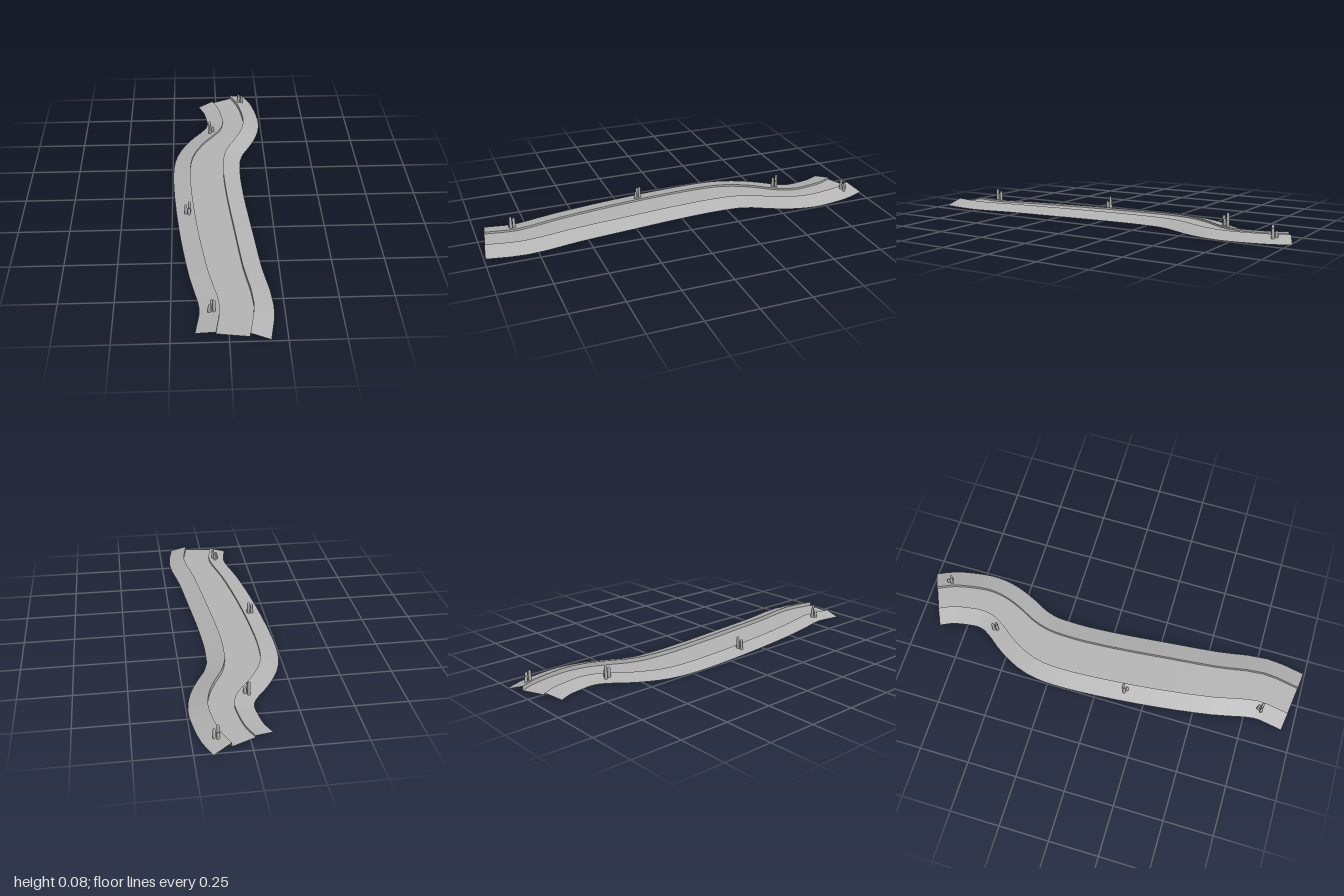
import * as THREE from 'three';

const stone = new THREE.MeshStandardMaterial({ color: 0xb4b4b4, side: THREE.DoubleSide, flatShading: true });
stone.name = 'paleGrey';
const reedGrey = new THREE.MeshStandardMaterial({ color: 0xb4b4b4 });
reedGrey.name = 'reedGrey';

// centre line of the stream, front to back: x, z
const path = new THREE.CatmullRomCurve3([
  [0.016, 0.97], [0.04, 0.8], [0, 0.566], [-0.034, 0.29], [-0.061, 0], [-0.069, -0.21], [-0.058, -0.333],
  [-0.018, -0.44], [0.04, -0.534], [0.077, -0.61], [0.093, -0.69], [0.087, -0.77], [0.066, -0.873], [0.032, -0.95],
].map(([x, z]) => new THREE.Vector3(x, 0, z)));

// half width of the channel against z
function halfWidth(z) {
  if (z > 0) return THREE.MathUtils.lerp(0.088, 0.073, THREE.MathUtils.smoothstep(z, 0.2, 0.97));
  return THREE.MathUtils.lerp(0.088, 0.059, THREE.MathUtils.smoothstep(-z, 0.25, 0.65));
}

// ribbon along the path between two profile corners: [side, extra width, height]
function ribbon(name, a, b) {
  const steps = 39, pos = [], index = [];
  for (let i = 0; i <= steps; i++) {
    const p = path.getPoint(i / steps), t = path.getTangent(i / steps);
    const h = halfWidth(p.z);
    for (const [side, extra, y] of [a, b]) {
      const d = side * (h + extra);
      pos.push(p.x - t.z * d, y, p.z + t.x * d);
    }
    if (i < steps) {
      const k = i * 2;
      index.push(k, k + 1, k + 3, k, k + 3, k + 2);
    }
  }
  const g = new THREE.BufferGeometry();
  g.setAttribute('position', new THREE.Float32BufferAttribute(pos, 3));
  g.setIndex(index);
  g.computeVertexNormals();
  const mesh = new THREE.Mesh(g, stone);
  mesh.name = name;
  return mesh;
}

// slightly tapered stalk with a rounded tip
function stalk(height) {
  const pts = [[0, 0.002], [0.0085, 0.002], [0.0068, height - 0.008], [0.0055, height - 0.003], [0.003, height - 0.0006], [0, height]];
  const g = new THREE.LatheGeometry(pts.map(([x, y]) => new THREE.Vector2(x, y)), 10);
  const mesh = new THREE.Mesh(g, reedGrey);
  mesh.name = 'reed';
  return mesh;
}

export function createModel() {
  const model = new THREE.Group();
  model.name = 'stream';

  // sloping banks, upright channel walls and flat water
  model.add(
    ribbon('leftBank', [1, 0, 0.029], [1, 0.09, 0]),
    ribbon('leftWall', [1, 0, 0.008], [1, 0, 0.029]),
    ribbon('water', [-1, 0, 0.008], [1, 0, 0.008]),
    ribbon('rightWall', [-1, 0, 0.018], [-1, 0, 0.008]),
    ribbon('rightBank', [-1, 0.09, 0], [-1, 0, 0.018]),
  );

  // clumps of three reeds: x, z, turn in degrees
  for (const [x, z, turn] of [[0.142, -0.915, 127], [-0.038, -0.6, 235], [-0.17, 0.14, 308], [-0.071, 0.822, 30]]) {
    const clump = new THREE.Group();
    clump.name = 'reedClump';
    clump.position.set(x, 0, z);
    [0.075, 0.048, 0.062].forEach((height, i) => {
      const reed = stalk(height);
      const angle = THREE.MathUtils.degToRad(turn + i * 120);
      reed.position.set(Math.cos(angle) * 0.0115, 0, Math.sin(angle) * 0.0115);
      clump.add(reed);
    });
    model.add(clump);
  }
  return model;
}
